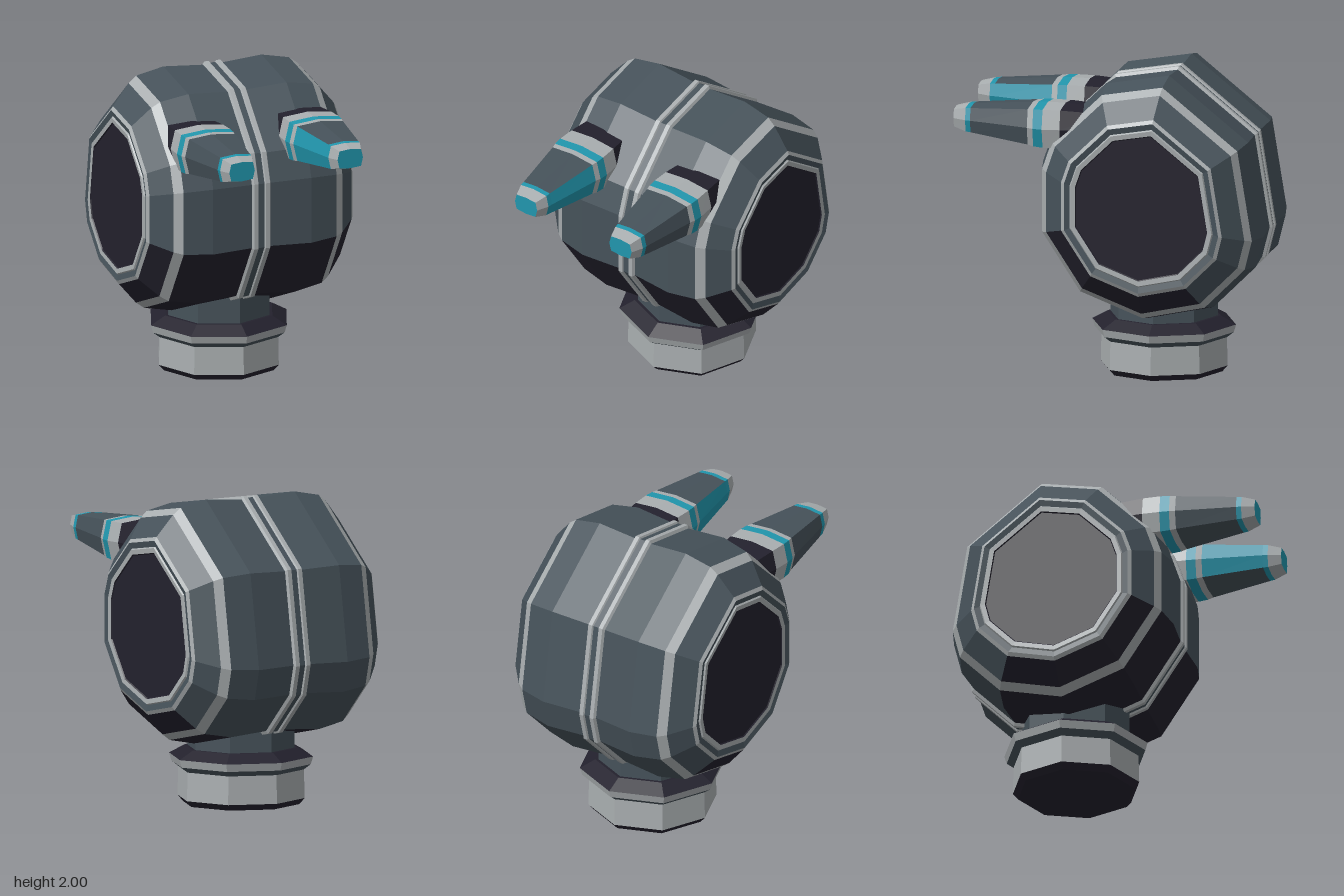
import * as THREE from 'three';

const material = (name, color) => {
  const m = new THREE.MeshStandardMaterial({ color });
  m.name = name;
  return m;
};

const SLATE = 0, DARK = 1, SILVER = 2, TEAL = 3;

// Joins cross-sections into a flat-shaded closed skin; paint(strip, segment) picks the colour
function loft(sections, paint, startPaint, endPaint) {
  const buckets = [[], [], [], []];
  const n = sections[0].length;
  const add = (colour, ...pts) => pts.forEach((p) => buckets[colour].push(p));
  for (let s = 0; s < sections.length - 1; s++) {
    const a = sections[s], b = sections[s + 1];
    for (let i = 0; i < n; i++) {
      const j = (i + 1) % n;
      add(paint(s, i), a[i], a[j], b[i], a[j], b[j], b[i]);
    }
  }
  const first = sections[0], last = sections[sections.length - 1];
  for (let i = 1; i < n - 1; i++) {
    add(startPaint, first[0], first[i + 1], first[i]);
    add(endPaint, last[0], last[i], last[i + 1]);
  }
  const geometry = new THREE.BufferGeometry().setFromPoints(buckets.flat());
  let start = 0;
  buckets.forEach((pts, colour) => {
    if (pts.length) geometry.addGroup(start, pts.length, colour);
    start += pts.length;
  });
  geometry.computeVertexNormals();
  return geometry;
}

export function createModel() {
  const model = new THREE.Group();
  model.name = 'sensorHead';
  const materials = [
    material('slate', 0x46525a),
    material('darkPurple', 0x23212d),
    material('silver', 0xa9aeb0),
    material('teal', 0x2196ad),
  ];
  const addMesh = (name, geometry, mats) => {
    const mesh = new THREE.Mesh(geometry, mats);
    mesh.name = name;
    model.add(mesh);
    return mesh;
  };

  // Body outline as [z, y], running top, front, bottom, back
  const outline = [
    [-0.385, 1.995], [0.03, 1.925], [0.375, 1.59], [0.44, 1.40], [0.44, 0.967], [0.18, 0.57],
    [-0.25, 0.404], [-0.675, 0.495], [-0.95, 0.768], [-1.0, 0.967], [-0.9, 1.58],
  ];
  const cy = 1.197, cz = -0.279;

  // Half profile from the middle outward: [x, outline scale, colour of the next strip]
  const half = [
    [0, 0.985, SLATE], [0.02, 0.985, SILVER], [0.026, 1.0, SILVER], [0.055, 1.0, SILVER],
    [0.065, 0.975, SLATE], [0.34, 1.0, SLATE], [0.53, 0.952, SILVER], [0.585, 0.9, SLATE],
    [0.7, 0.73, SILVER], [0.715, 0.7, SLATE], [0.705, 0.65, SILVER], [0.715, 0.64, SILVER],
    [0.712, 0.6, DARK], [0.705, 0.592, DARK],
  ];
  const last = half.length - 1;
  const bodySections = [];
  for (let k = -last; k <= last; k++) {
    const [x, scale] = half[Math.abs(k)];
    bodySections.push(outline.map(([z, y]) =>
      new THREE.Vector3(Math.sign(k) * x, cy + (y - cy) * scale, cz + (z - cz) * scale)));
  }
  const bodyPaint = (strip, segment) => {
    const k = strip < last ? last - 1 - strip : strip - last;
    const underside = k >= 4 && k <= 7 && segment >= 4 && segment <= 6;
    return underside && half[k][2] === SLATE ? DARK : half[k][2];
  };
  addMesh('body', loft(bodySections, bodyPaint, DARK, DARK), materials);

  // Two tapered stalks: [z, half width, half height, centre y, colour of the next strip]
  const stalkRing = [[0, 1], [-0.85, 0.88], [-1, 0], [-0.85, -0.88], [0, -1], [0.85, -0.88], [1, 0], [0.85, 0.88]];
  const stalkProfile = [
    [0.0, 0.165, 0.115, 1.66, DARK], [0.285, 0.195, 0.139, 1.656, SILVER],
    [0.4, 0.2, 0.141, 1.655, TEAL], [0.462, 0.195, 0.137, 1.657, SILVER],
    [0.5, 0.185, 0.131, 1.66, SLATE], [0.885, 0.122, 0.09, 1.675, TEAL],
    [0.918, 0.118, 0.087, 1.676, SILVER], [1.0, 0.088, 0.064, 1.68, TEAL],
  ];
  for (const side of [1, -1]) {
    const sections = stalkProfile.map(([z, w, h, y]) =>
      stalkRing.map(([u, v]) => new THREE.Vector3(side * 0.375 + u * w, y + v * h, z)));
    const innerFaces = side > 0 ? [1, 2] : [5, 6];
    const paint = (strip, segment) =>
      strip === 4 && innerFaces.includes(segment) ? TEAL : stalkProfile[strip][4];
    addMesh(side > 0 ? 'leftStalk' : 'rightStalk', loft(sections, paint, DARK, TEAL), materials);
  }

  // Eight-sided neck, collar and base: [name, bottom y, top y, bottom radius, top radius, colour]
  const neckParts = [
    ['baseBevel', 0, 0.04, 0.38, 0.415, DARK],
    ['base', 0.04, 0.225, 0.415, 0.41, SILVER],
    ['collarUnderside', 0.225, 0.26, 0.41, 0.455, SLATE],
    ['collarRim', 0.26, 0.31, 0.455, 0.47, SILVER],
    ['collarTop', 0.31, 0.365, 0.47, 0.37, DARK],
    ['neck', 0.365, 0.62, 0.35, 0.35, SLATE],
  ];
  for (const [name, y0, y1, r0, r1, colour] of neckParts) {
    const geometry = new THREE.CylinderGeometry(r1, r0, y1 - y0, 8).toNonIndexed();
    geometry.computeVertexNormals();
    geometry.clearGroups();
    addMesh(name, geometry, materials[colour]).position.set(0, (y0 + y1) / 2, cz);
  }
  return model;
}
